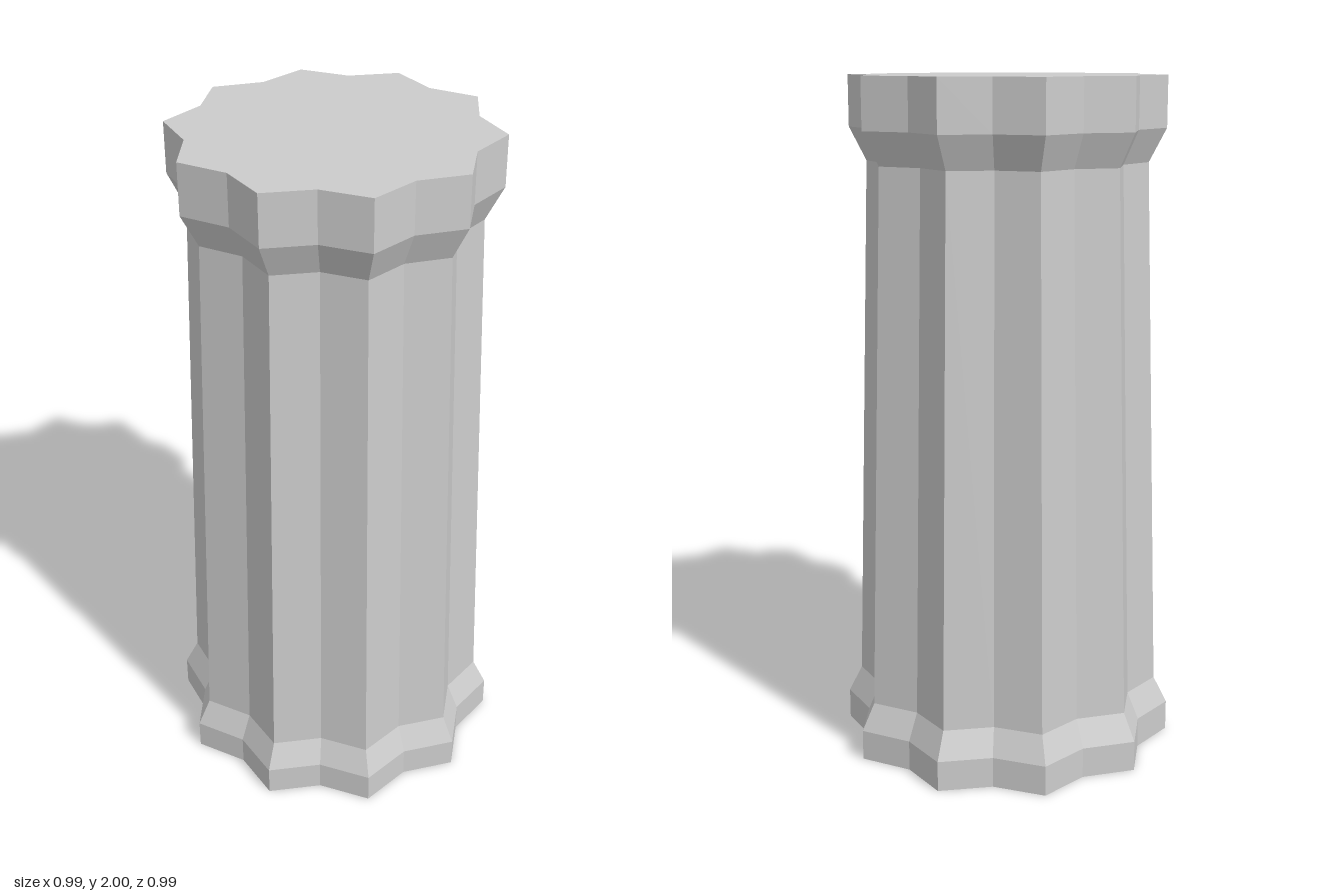
import * as THREE from 'three';

const POINTS = 10;          // star tips around the column
const NOTCH = 0.87;         // groove radius relative to the tips
const TURN = Math.PI / 20;  // rotation of the first tip

const stone = new THREE.MeshStandardMaterial({ color: 0xcccccc, flatShading: true });
stone.name = 'grey stone';

// Revolves a [radius, y] profile into a ten-pointed star section
function starSection(name, profile) {
  const rows = profile.map(([r, y]) => new THREE.Vector2(r, y));
  const geo = new THREE.LatheGeometry(rows, POINTS * 2, TURN);
  const pos = geo.attributes.position;
  for (let i = 0; i < pos.count; i++) {
    const column = Math.floor(i / rows.length);
    if (column % 2 === 1) {
      pos.setX(i, pos.getX(i) * NOTCH);
      pos.setZ(i, pos.getZ(i) * NOTCH);
    }
  }
  const flat = geo.toNonIndexed();
  flat.computeVertexNormals();
  const mesh = new THREE.Mesh(flat, stone);
  mesh.name = name;
  return mesh;
}

export function createModel() {
  const column = new THREE.Group();
  column.name = 'flutedColumn';
  column.add(
    // foot with closed underside and sloped shoulder
    starSection('base', [[0, 0], [0.5, 0], [0.5, 0.09], [0.46, 0.17]]),
    // tapering fluted shaft
    starSection('shaft', [[0.46, 0.17], [0.41, 1.755]]),
    // flared head with closed top
    starSection('capital', [[0.41, 1.755], [0.46, 1.852], [0.46, 2], [0, 2]])
  );
  return column;
}
